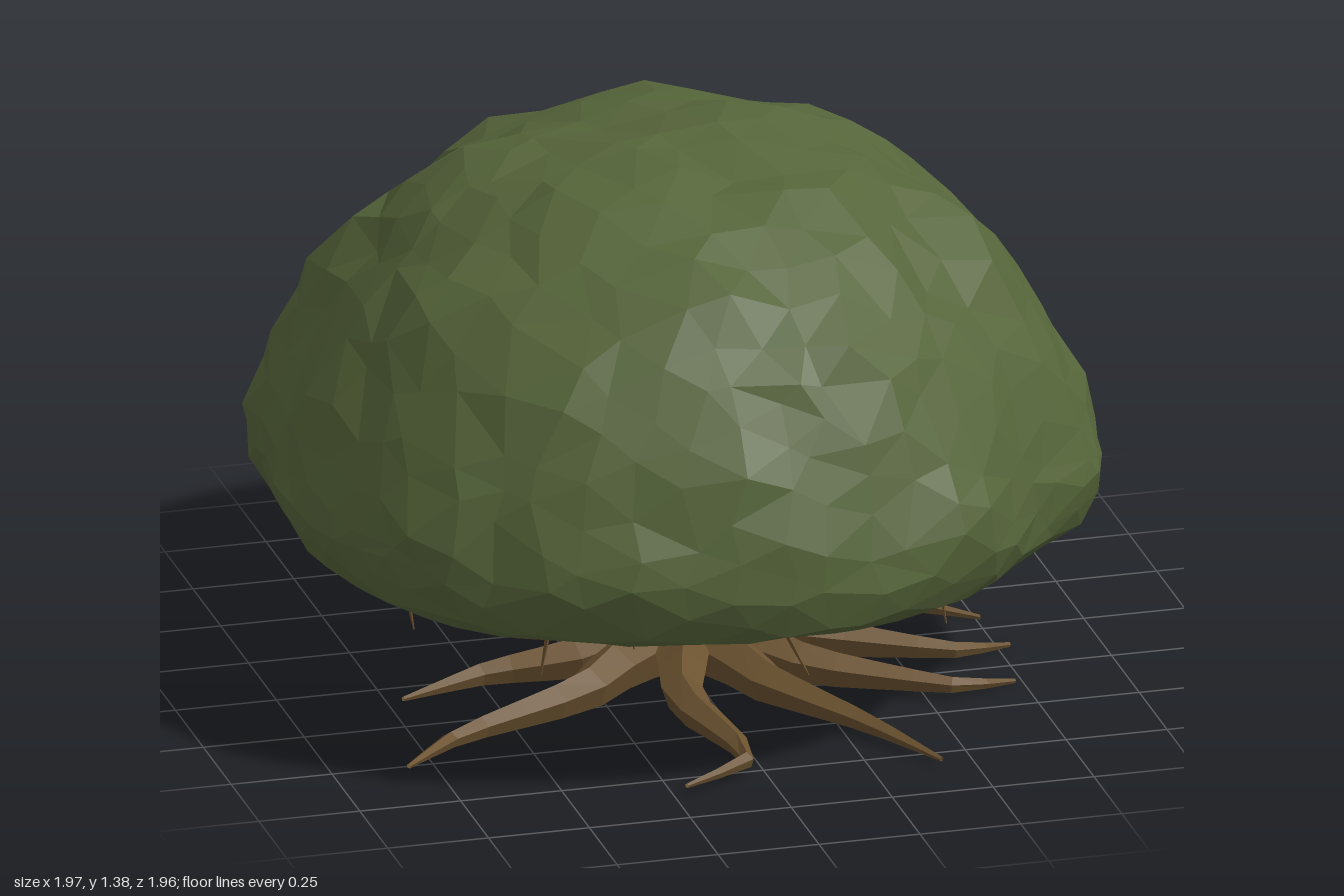
import * as THREE from 'three';

const bark = new THREE.MeshStandardMaterial({ color: 0x6b5230, flatShading: true, side: THREE.DoubleSide });
const leaf = new THREE.MeshStandardMaterial({ color: 0x56653a, flatShading: true });

// Repeatable noise in -1..1 from a position, so shared corners stay together
function noise(v, k) {
  const s = Math.sin(Math.round(v.x * 500) * 12.99 + Math.round(v.y * 500) * 78.23 + Math.round(v.z * 500) * 37.72 + k * 19.19) * 43758.55;
  return (s - Math.floor(s)) * 2 - 1;
}

// Linear lookup in [[t, a, b...], ...]
function lookup(table, t) {
  let i = 1;
  while (i < table.length - 1 && table[i][0] < t) i++;
  const [p, q] = [table[i - 1], table[i]];
  const f = THREE.MathUtils.clamp((t - p[0]) / (q[0] - p[0]), 0, 1);
  return p.slice(1).map((a, j) => a + (q[j + 1] - a) * f);
}

// Tapering low-poly limb through a few points
function limb(name, points, r0, r1, sides, segments, power = 1) {
  const curve = new THREE.CatmullRomCurve3(points.map(p => new THREE.Vector3(...p)), false, 'catmullrom', 0.2);
  const geo = new THREE.TubeGeometry(curve, segments, 1, sides);
  const pos = geo.attributes.position, v = new THREE.Vector3();
  for (let i = 0; i < pos.count; i++) {
    const t = Math.floor(i / (sides + 1)) / segments;
    const c = curve.getPointAt(t);
    v.fromBufferAttribute(pos, i).sub(c).multiplyScalar(r0 + (r1 - r0) * Math.pow(t, power)).add(c);
    pos.setXYZ(i, v.x, Math.max(v.y, 0), v.z);
  }
  geo.computeVertexNormals();
  const mesh = new THREE.Mesh(geo, bark);
  mesh.name = name;
  return mesh;
}

// Plan outline of the crown, [x, z]
const outline = [
  [0.97, 0], [1, 0.2], [0.94, 0.43], [0.75, 0.6], [0.55, 0.83], [0.3, 0.95], [0.08, 0.99], [-0.29, 0.96],
  [-0.53, 0.87], [-0.8, 0.67], [-0.96, 0.35], [-1, 0.13], [-0.97, -0.27], [-0.98, -0.5], [-0.72, -0.7],
  [-0.54, -0.91], [-0.37, -0.97], [0, -1], [0.35, -0.94], [0.6, -0.82], [0.8, -0.53], [0.91, -0.43], [0.95, -0.24],
].map(([x, z]) => [(Math.atan2(z, x) + Math.PI * 2) % (Math.PI * 2), Math.hypot(x, z)]);
outline.push([Math.PI * 2, 0.97]);

// Crown section: polar fraction, radius, height
const section = [
  [0, 0, 1.4], [0.07, 0.22, 1.37], [0.14, 0.43, 1.32], [0.22, 0.63, 1.2], [0.3, 0.79, 1.03], [0.38, 0.9, 0.83],
  [0.45, 0.97, 0.65], [0.51, 0.985, 0.54], [0.56, 0.95, 0.44], [0.6, 0.9, 0.41], [0.66, 0.76, 0.43], [0.8, 0.4, 0.45], [1, 0, 0.46],
];

function makeCrown() {
  const geo = new THREE.IcosahedronGeometry(1, 8);
  geo.deleteAttribute('uv');
  const pos = geo.attributes.position, v = new THREE.Vector3();
  // Evenly spread centres of the leaf clumps
  const clumps = Array.from({ length: 34 }, (_, i) => {
    const y = 1 - (i + 0.5) / 28, a = i * 2.4, r = Math.sqrt(Math.max(0, 1 - y * y));
    return new THREE.Vector3(Math.cos(a) * r, y, Math.sin(a) * r);
  });
  for (let i = 0; i < pos.count; i++) {
    const p = v.fromBufferAttribute(pos, i).clone();
    v.x += noise(p, 1) * 0.04;
    v.y += noise(p, 2) * 0.035;
    v.z += noise(p, 3) * 0.04;
    v.normalize();
    const angle = (Math.atan2(v.z, v.x) + Math.PI * 2) % (Math.PI * 2);
    const polar = Math.acos(v.y) / Math.PI;
    const [r, y] = lookup(section, polar);
    const near = Math.min(...clumps.map(c => c.distanceTo(v)));
    const bump = (0.2 - near) * 0.16 + noise(p, 4) * 0.012;
    const upper = polar < 0.5 ? 1 : 0.25;
    const edge = lookup(outline, angle)[0] * r * (1 + bump * 0.6 * upper);
    pos.setXYZ(i, Math.cos(angle) * edge, y + bump * upper * (polar < 0.3 ? 0.9 : 0.4), Math.sin(angle) * edge);
  }
  geo.computeVertexNormals();
  const mesh = new THREE.Mesh(geo, leaf);
  mesh.name = 'crown';
  return mesh;
}

export function createModel() {
  const tree = new THREE.Group();
  tree.name = 'tree';
  tree.add(makeCrown());

  // Trunk with flared foot
  const trunk = new THREE.Mesh(new THREE.LatheGeometry(
    [[0, 0.03], [0.1, 0.03], [0.17, 0.09], [0.145, 0.15], [0.13, 0.2], [0.115, 0.3], [0.12, 0.4], [0.14, 0.55], [0, 0.55]]
      .map(p => new THREE.Vector2(...p)), 9), bark);
  trunk.name = 'trunk';
  trunk.position.set(-0.01, 0, 0.01);
  tree.add(trunk);

  // Spreading roots: [knee x, z], [bend x, z], [tip x, z, y]
  const roots = new THREE.Group();
  roots.name = 'roots';
  [
    [[-0.32, 0.28], [-0.66, 0.42], [-0.84, 0.61, 0.07]],
    [[-0.1, 0.4], [-0.03, 0.74], [-0.22, 0.86, 0.05]],
    [[0.12, 0.32], [0.3, 0.6], [0.42, 0.83, 0.04]],
    [[0.26, 0.26], [0.56, 0.42], [0.73, 0.36, 0.03]],
    [[0.32, 0.08], [0.62, 0.2], [0.78, 0.13, 0.03]],
    [[0.26, -0.16], [0.48, -0.22], [0.76, -0.06, 0.03]],
    [[0.12, -0.32], [0.07, -0.6], [0.17, -0.76, 0.06]],
    [[-0.2, -0.18], [-0.38, -0.28], [-0.12, -0.6, 0.04]],
    [[-0.28, 0.06], [-0.5, 0.05], [-0.73, 0.16, 0.06]],
  ].forEach(([a, b, c]) => roots.add(limb('root',
    [[a[0] * 0.15, 0.1, a[1] * 0.15], [a[0] * 0.6, 0.1, a[1] * 0.6], [a[0], 0.08, a[1]], [b[0], 0.06, b[1]], [c[0], c[2], c[1]]],
    0.085, 0.006, 5, 9, 0.8)));
  tree.add(roots);

  // Short side branches and twigs below the crown
  const branches = new THREE.Group();
  branches.name = 'branches';
  branches.add(
    limb('branch', [[-0.08, 0.34, 0], [-0.15, 0.36, -0.02], [-0.2, 0.38, -0.03], [-0.22, 0.45, -0.03]], 0.035, 0.02, 5, 5),
    limb('branch', [[0.08, 0.39, 0], [0.15, 0.36, 0.01], [0.21, 0.34, 0], [0.28, 0.38, -0.02]], 0.03, 0.008, 5, 6),
    limb('twig', [[0.15, 0.36, 0.01], [0.19, 0.33, 0.02], [0.21, 0.32, 0.03]], 0.015, 0.004, 4, 4));
  tree.add(branches);

  // Thin hanging roots: x, z, lower end, sideways lean
  const hanging = new THREE.Group();
  hanging.name = 'hangingRoots';
  [
    [-0.74, 0.2, 0.26, 0.02], [-0.72, -0.25, 0.3, 0.01], [-0.48, 0.58, 0.25, -0.02], [-0.46, -0.5, 0.3, -0.02],
    [-0.38, 0.35, 0.32, 0.01], [-0.31, -0.58, 0.24, 0.04], [-0.27, 0.43, 0.25, 0.03], [-0.24, -0.35, 0.28, 0.01],
    [-0.55, 0.02, 0.3, 0.02], [0.36, 0.25, 0.27, -0.03], [0.46, -0.2, 0.22, -0.06], [0.4, -0.4, 0.26, -0.05],
    [0.51, 0.45, 0.24, 0.02], [0.53, -0.52, 0.29, -0.01], [0.7, -0.25, 0.24, 0.01], [0.69, 0.25, 0.3, 0.01],
    [0.1, -0.74, 0.22, -0.02], [0.05, 0.7, 0.26, 0.06], [0.2, 0.57, 0.29, 0.01], [0.18, -0.58, 0.3, 0.02],
  ].forEach(([x, z, y, lean]) => hanging.add(limb('hangingRoot',
    [[x, 0.47, z], [x + lean * 0.2, (y + 0.47) / 2, z + lean * 0.5], [x + lean, y, z + lean]], 0.012, 0.002, 4, 4)));
  tree.add(hanging);

  return tree;
}
